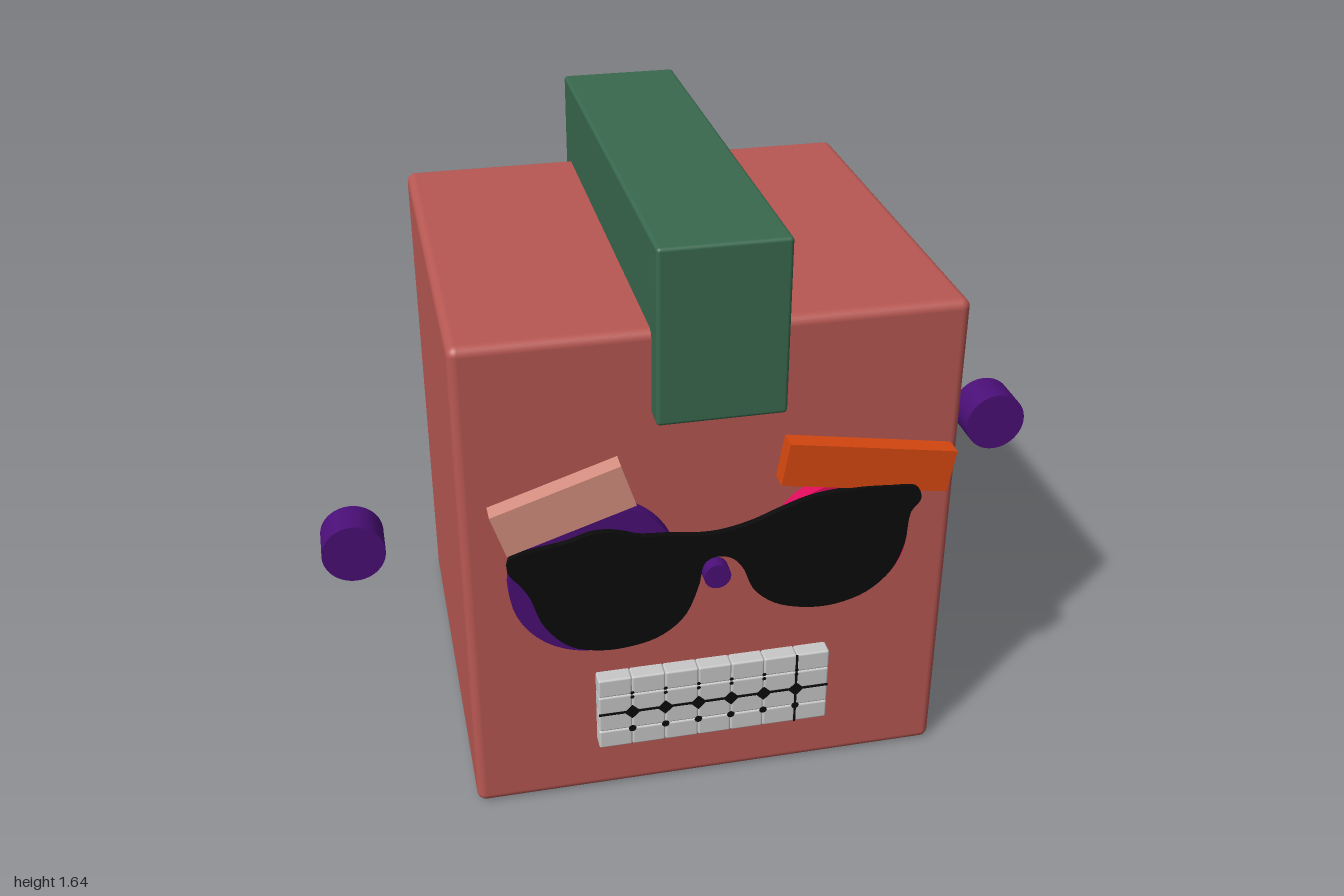
import * as THREE from 'three';
import { RoundedBoxGeometry } from 'three/addons/geometries/RoundedBoxGeometry.js';

const material = (name, color) => {
  const m = new THREE.MeshStandardMaterial({ color });
  m.name = name;
  return m;
};

export function createModel() {
  const model = new THREE.Group();
  model.name = 'blockHead';

  const red = material('brickRed', 0xb85853);
  const green = material('darkGreen', 0x38694e);
  const purple = material('purple', 0x4b0f78);
  const pink = material('hotPink', 0xe00a5c);
  const orange = material('orange', 0xd8480f);
  const peach = material('peach', 0xd68f80);
  const grey = material('toothGrey', 0xc8c8c8);
  const black = material('black', 0x0a0a0a);

  const add = (name, geometry, mat, x, y, z, parent = model) => {
    const mesh = new THREE.Mesh(geometry, mat);
    mesh.name = name;
    mesh.position.set(x, y, z);
    parent.add(mesh);
    return mesh;
  };
  // Cylinder whose axis runs front to back
  const disc = (name, r, depth, mat, x, y, z) =>
    add(name, new THREE.CylinderGeometry(r, r, depth, 48).rotateX(Math.PI / 2), mat, x, y, z);

  // Head and the crest that straddles it
  add('head', new RoundedBoxGeometry(1.308, 1.4, 1.2, 4, 0.025), red, 0.005, 0.7, 0);
  add('crest', new RoundedBoxGeometry(0.33, 0.468, 1.33, 3, 0.01), green, 0.007, 1.404, -0.003);

  // Floating ears
  disc('rightEar', 0.086, 0.11, purple, -0.914, 0.645, 0.213);
  disc('leftEar', 0.086, 0.11, purple, 0.914, 0.838, 0.213);

  // Eyes and nose
  disc('rightEye', 0.222, 0.06, purple, -0.315, 0.73, 0.613);
  disc('leftEye', 0.184, 0.06, pink, 0.335, 0.752, 0.613);
  disc('nose', 0.036, 0.06, purple, 0.008, 0.69, 0.61);

  // Tilted eyebrows
  add('rightBrow', new THREE.BoxGeometry(0.348, 0.125, 0.07), peach, -0.392, 0.951, 0.617)
    .rotation.z = 0.315;
  add('leftBrow', new THREE.BoxGeometry(0.455, 0.12, 0.07), orange, 0.401, 0.976, 0.617)
    .rotation.z = -0.166;

  // Sunglasses: one curved outline, upper edge then lower edge
  const outline = [
    [-0.54, 0.797], [-0.53, 0.837], [-0.47, 0.85], [-0.39, 0.862], [-0.32, 0.882],
    [-0.26, 0.877], [-0.2, 0.857], [-0.12, 0.85], [-0.05, 0.84], [0.01, 0.84],
    [0.09, 0.857], [0.17, 0.888], [0.25, 0.914], [0.36, 0.924], [0.46, 0.919],
    [0.53, 0.909], [0.543, 0.872], [0.518, 0.834], [0.508, 0.738], [0.476, 0.658],
    [0.412, 0.599], [0.33, 0.572], [0.25, 0.572], [0.16, 0.599], [0.1, 0.652],
    [0.07, 0.722], [0.04, 0.758], [0, 0.769], [-0.032, 0.754], [-0.048, 0.684],
    [-0.085, 0.594], [-0.15, 0.54], [-0.23, 0.519], [-0.31, 0.519], [-0.39, 0.545],
    [-0.455, 0.62], [-0.487, 0.711], [-0.508, 0.749],
  ].map(([x, y]) => new THREE.Vector3(x, y, 0));
  const curve = new THREE.CatmullRomCurve3(outline, true, 'centripetal');
  const frame = new THREE.Shape(curve.getPoints(150).slice(0, -1).map((p) => new THREE.Vector2(p.x, p.y)));
  add('sunglasses', new THREE.ExtrudeGeometry(frame, { depth: 0.018, bevelEnabled: false }),
    black, 0, 0, 0.644);

  // Teeth: seven columns by four rows
  const mouth = new THREE.Group();
  mouth.name = 'mouth';
  mouth.position.set(0.006, 0.285, 0);
  model.add(mouth);
  const w = 0.0915, h = 0.0573;
  const tooth = new RoundedBoxGeometry(w, h, 0.08, 2, 0.006);
  for (let c = -3; c <= 3; c++)
    for (let r = -1.5; r <= 1.5; r++) add('tooth', tooth, grey, c * w, r * h, 0.602, mouth);

  // Dark gaps and the spots where teeth meet
  add('biteLine', new THREE.BoxGeometry(7 * w, 0.007, 0.002), black, 0, 0, 0.642, mouth);
  add('toothGap', new THREE.BoxGeometry(0.006, 4 * h, 0.002), black, 2.5 * w, 0, 0.642, mouth);
  const diamond = new THREE.CircleGeometry(0.023, 4);
  const dot = new THREE.CircleGeometry(0.011, 8);
  const speck = new THREE.CircleGeometry(0.006, 6);
  for (let c = -2.5; c <= 2.5; c++) {
    add('gapDiamond', diamond, black, c * w, 0, 0.6435, mouth);
    add('gapDot', dot, black, c * w, -h, 0.6435, mouth);
    for (const dy of [-0.007, 0.007]) add('gapSpeck', speck, black, c * w, h + dy, 0.6435, mouth);
  }

  return model;
}
